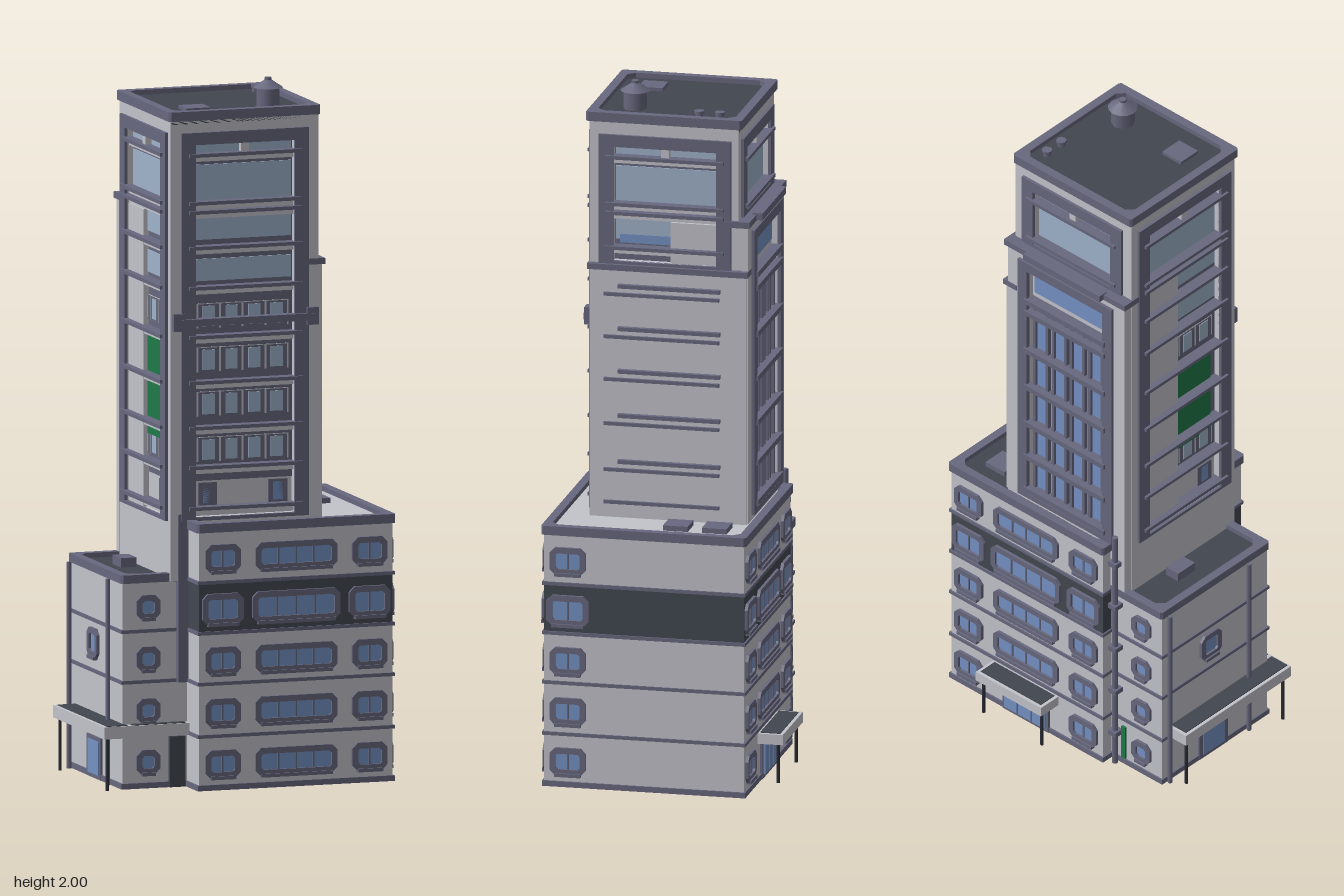
import * as THREE from 'three';

const mat = (name, color) => Object.assign(new THREE.MeshStandardMaterial({ color }), { name });
const WALL = mat('pale wall', 0xc3c3cb), TRIM = mat('slate trim', 0x68687f), DARK = mat('dark roof', 0x424750);
const GLASS = mat('blue glass', 0x7592c4), SKY = mat('pale glass', 0x9fb3cb), GREEN = mat('green glass', 0x1f7a48);
const POST = mat('black post', 0x2b2d36);

function add(parent, name, geo, m, x = 0, y = 0, z = 0) {
  const mesh = new THREE.Mesh(geo, m);
  mesh.name = name;
  mesh.position.set(x, y, z);
  parent.add(mesh);
  return mesh;
}
// Box given by its limits on each axis
const box = (p, name, m, x0, x1, y0, y1, z0, z1) =>
  add(p, name, new THREE.BoxGeometry(x1 - x0, y1 - y0, z1 - z0), m, (x0 + x1) / 2, (y0 + y1) / 2, (z0 + z1) / 2);
const pole = (p, name, m, r, x, z, y0, y1) =>
  add(p, name, new THREE.CylinderGeometry(r, r, y1 - y0, 8), m, x, (y0 + y1) / 2, z);

// Rectangle outline with chamfered corners
function outline(Type, x0, x1, y0, y1, c = 0) {
  const pts = c ? [[x0 + c, y0], [x1 - c, y0], [x1, y0 + c], [x1, y1 - c], [x1 - c, y1], [x0 + c, y1], [x0, y1 - c], [x0, y0 + c]]
    : [[x0, y0], [x1, y0], [x1, y1], [x0, y1]];
  return new Type(pts.map(([x, y]) => new THREE.Vector2(x, y)));
}
// Plate with a hole, [x0, x1, y0, y1, chamfer] each, back face at z
function ring(p, name, m, outer, inner, z, depth) {
  const s = outline(THREE.Shape, ...outer);
  s.holes.push(outline(THREE.Path, ...inner));
  return add(p, name, new THREE.ExtrudeGeometry(s, { depth, bevelEnabled: false }), m, 0, 0, z);
}
// Flat roof edge with chamfered inner corners, over a dark deck
function roof(p, name, x0, x1, z0, z1, y0, y1, w) {
  const r = ring(p, name + 'Rim', TRIM, [x0, x1, -z1, -z0, 0.006], [x0 + w, x1 - w, -z1 + w, -z0 - w, 0.02], 0, y1 - y0);
  r.rotation.x = -Math.PI / 2;
  r.position.y = y0;
  box(p, name + 'Deck', DARK, x0 + 0.01, x1 - 0.01, y0 - 0.01, y1 - 0.014, z0 + 0.01, z1 - 0.01);
}
// Group whose local +z points out of one side of the building
function side(p, name, turns, x = 0, z = 0) {
  const g = new THREE.Group();
  g.name = name;
  g.rotation.y = turns * Math.PI / 2;
  g.position.set(x, 0, z);
  p.add(g);
  return g;
}
// Chamfered window: frame, glass, mullions and sill
function windowUnit(p, x, y, w, h, z, panes) {
  const a = w / 2, b = h / 2, t = 0.017;
  ring(p, 'windowFrame', TRIM, [x - a, x + a, y - b, y + b, 0.016], [x - a + t, x + a - t, y - b + t, y + b - t, 0.006], z - 0.004, 0.013);
  box(p, 'windowGlass', GLASS, x - a + t / 2, x + a - t / 2, y - b + t / 2, y + b - t / 2, z - 0.003, z + 0.002);
  for (let i = 1; i < panes; i++) {
    const mx = x - a + t + (w - 2 * t) * i / panes;
    box(p, 'mullion', TRIM, mx - 0.0025, mx + 0.0025, y - b + t, y + b - t, z, z + 0.005);
  }
  box(p, 'windowSill', TRIM, x - a + 0.015, x + a - 0.015, y - b - 0.004, y - b + 0.006, z, z + 0.014);
}

const FLOORS = [0.075, 0.222, 0.37, 0.518, 0.663];
const LEVELS = [0, 0.155, 0.305, 0.45, 0.595, 0.75];

function podium(g) {
  const p = side(g, 'podium', 0, 0.1225, 0.0325), H = 0.29;
  for (let i = 0; i < 5; i++) {
    box(p, 'podiumFloor', i === 3 ? DARK : WALL, -H, H, LEVELS[i], LEVELS[i + 1], -H, H);
    const t = i === 0 ? 0.016 : 0.005, e = H + 0.005;
    box(p, 'floorLedge', TRIM, -e, e, i ? LEVELS[i] - t : 0, LEVELS[i] + t, -e, e);
  }
  roof(p, 'podium', -0.2975, 0.2975, -0.2975, 0.2975, 0.738, 0.764, 0.025);
  for (const t of [0, 1, 2]) {
    const s = side(p, ['podiumFront', 'podiumLeft', 'podiumBack'][t], t);
    FLOORS.forEach((y, i) => {
      const k = i === 3 ? 0.018 : 0;
      windowUnit(s, -0.22, y, 0.105 + k, 0.08 + k / 2, H, 2);
      if (t === 1) return;
      windowUnit(s, 0.22, y, 0.105 + k, 0.08 + k / 2, H, 2);
      if (t === 0 || i) windowUnit(s, 0, y, 0.245 + k, 0.08 + k / 2, H, 4);
    });
  }
  // Roof hatches
  for (const z of [-0.155, -0.042]) box(g, 'roofHatch', TRIM, 0.27, 0.342, 0.745, 0.765, z - 0.036, z + 0.036);
  // Back entrance with canopy
  box(g, 'backDoorFrame', TRIM, 0.035, 0.21, 0, 0.112, -0.265, -0.255);
  for (const x of [0.045, 0.098, 0.151]) box(g, 'backDoorGlass', GLASS, x, x + 0.048, 0.012, 0.1, -0.27, -0.262);
  canopy(g, 0, 0.25, -0.333, -0.26, 0.115, 0.145);
  for (const x of [0.012, 0.235]) pole(g, 'canopyPost', POST, 0.005, x, -0.316, 0, 0.12);
}

function canopy(g, x0, x1, z0, z1, y0, y1) {
  box(g, 'canopy', WALL, x0, x1, y0, y1, z0, z1);
  box(g, 'canopyTop', DARK, x0 + 0.01, x1 - 0.01, y1 - 0.004, y1 + 0.002, z0 + 0.01, z1 - 0.005);
}

function annex(g) {
  box(g, 'annexBody', WALL, -0.36, -0.165, 0, 0.595, -0.22, 0.22);
  for (const y of LEVELS.slice(0, 4)) box(g, 'annexLedge', TRIM, -0.365, -0.165, Math.max(0, y - 0.005), y + (y ? 0.005 : 0.016), -0.225, 0.225);
  roof(g, 'annex', -0.366, -0.165, -0.228, 0.226, 0.588, 0.612, 0.025);
  box(g, 'annexVent', TRIM, -0.287, -0.24, 0.59, 0.625, -0.072, -0.002);
  const front = side(g, 'annexFront', 0), back = side(g, 'annexBack', 2), right = side(g, 'annexRight', -1);
  for (const y of FLOORS.slice(0, 4)) {
    windowUnit(front, -0.285, y, 0.07, 0.07, 0.22, 1);
    windowUnit(back, 0.285, y, 0.07, 0.07, 0.22, 1);
  }
  windowUnit(right, -0.02, 0.385, 0.085, 0.085, 0.36, 1);
  box(right, 'sideDoorFrame', TRIM, -0.07, 0.05, 0, 0.12, 0.355, 0.366);
  box(right, 'sideDoorGlass', GLASS, -0.055, 0.035, 0.012, 0.108, 0.362, 0.369);
  // Side canopy, posts and downpipes
  canopy(g, -0.425, -0.345, -0.19, 0.25, 0.15, 0.185);
  canopy(g, -0.35, -0.17, 0.215, 0.25, 0.15, 0.185);
  for (const z of [-0.172, 0.232]) pole(g, 'canopyPost', POST, 0.005, -0.41, z, 0, 0.16);
  for (const z of [-0.2, 0.13]) pole(g, 'downpipe', TRIM, 0.007, -0.373, z, 0, 0.59);
  pole(g, 'backDownpipe', TRIM, 0.009, -0.195, -0.236, 0, 0.8);
  for (const y of [0.1, 0.25, 0.4, 0.55, 0.7]) box(g, 'pipeClamp', TRIM, -0.21, -0.18, y, y + 0.015, -0.25, -0.22);
  // Corner doorway, green panel and corner pilaster
  box(g, 'cornerDoor', DARK, -0.222, -0.175, 0, 0.145, 0.22, 0.229);
  box(g, 'cornerGreenPanel', GREEN, -0.225, -0.21, 0.02, 0.13, -0.227, -0.219);
  box(g, 'cornerPilaster', TRIM, -0.2, -0.17, 0.3, 0.78, 0.21, 0.24);
}

// Deep-set window bay with frame, sun bars and glazing between y0 and the top
function bay(p, c, half, y0, d, wallX0, wallX1, wallY0, green) {
  const x0 = c - half, x1 = c + half, top = 1.835, zi = d - 0.018;
  ring(p, 'bayWall', WALL, [wallX0, wallX1, wallY0, 1.91], [x0, x1, y0, top], d - 0.02, 0.02);
  ring(p, 'bayFrame', TRIM, [x0 - 0.042, x1 + 0.042, y0 - 0.01, top + 0.035], [x0, x1, y0, top], d - 0.003, 0.012);
  box(p, 'bayBacking', TRIM, x0, x1, Math.max(y0, 0.87), top, zi - 0.004, zi);
  const glass = (m, a, b, l, r) => box(p, 'bayGlass', m, l, r, a, b, zi - 0.002, zi + 0.004);
  // Wide panes of the upper floors
  for (const [a, b] of [[1.672, 1.775], [1.805, 1.832], [1.56, 1.632], [1.442, 1.505]])
    if (a > y0) glass(SKY, a, b, x0 + 0.004, x1 - 0.004);
  // Rows of four panes, or broad green panes
  if (y0 < 1) {
    for (const y of [0.93, 1.06, 1.187, 1.312]) {
      if (green && y > 1 && y < 1.2) { glass(GREEN, y - 0.08, y + 0.08, x0 + 0.02, x1 - 0.02); continue; }
      box(p, 'bayPanel', WALL, x0 + 0.01, x1 - 0.01, y - 0.006, y + 0.065, zi - 0.003, zi + 0.001);
      for (let i = 0; i < 4; i++) {
        const x = c - 0.102 + i * 0.068;
        box(p, 'paneFrame', TRIM, x - 0.031, x + 0.031, y - 0.006, y + 0.063, zi - 0.002, zi + 0.002);
        glass(SKY, y, y + 0.058, x - 0.018, x + 0.018);
      }
    }
    for (const x of [c - 0.105, c + 0.105]) {
      box(p, 'paneFrame', TRIM, x - 0.028, x + 0.028, 0.8, 0.865, zi, zi + 0.004);
      glass(GLASS, 0.806, 0.858, x - 0.015, x + 0.015);
    }
  }
  // Sun bars and pale spandrel strips
  for (const y of [0.795, 0.912, 1.025, 1.155, 1.285, 1.425, 1.54, 1.642, 1.668, 1.805]) {
    if (y < y0) continue;
    box(p, 'sunBar', TRIM, x0 - 0.022, x1 + 0.022, y - 0.005, y + 0.005, d - 0.02, d + 0.017);
    box(p, 'spandrel', WALL, x0, x1, y - 0.02, y - 0.005, d - 0.02, d - 0.004);
  }
  box(p, 'topLamp', WALL, c - 0.012, c + 0.012, 1.81, 1.835, d - 0.02, d + 0.004);
}

function tower(g) {
  const t = side(g, 'tower', 0);
  box(t, 'towerCore', WALL, -0.203, 0.203, 0.59, 1.91, -0.18, 0.216);
  box(t, 'towerBackCore', WALL, -0.22, 0.22, 0.59, 1.62, -0.205, 0);
  // Front bay with wide ledge
  const front = side(t, 'towerFront', 0);
  bay(front, 0, 0.148, 0.77, 0.235, -0.222, 0.222, 0.59, false);
  box(front, 'wideLedge', TRIM, -0.215, 0.215, 1.318, 1.338, 0.225, 0.254);
  for (const x of [-0.2, 0.2]) box(front, 'ledgeBracket', TRIM, x - 0.017, x + 0.017, 1.305, 1.355, 0.225, 0.252);
  // Right side bay with green panes
  bay(side(t, 'towerRight', -1), 0.02, 0.15, 0.77, 0.222, -0.195, 0.235, 0.59, true);
  // Left side: short bay above a blank block with paired fins
  const left = side(t, 'towerLeft', 1);
  bay(left, -0.015, 0.15, 1.5, 0.222, -0.235, 0.195, 1.45, false);
  box(left, 'lowStripGlass', GLASS, -0.15, 0.12, 1.55, 1.575, 0.2, 0.209);
  box(left, 'blankBlock', WALL, -0.23, 0.222, 0.75, 1.478, 0.19, 0.234);
  box(left, 'blockCap', TRIM, -0.238, 0.228, 1.475, 1.492, 0.19, 0.241);
  for (const y of [0.795, 0.89, 1.025, 1.155, 1.28, 1.405]) {
    box(left, 'longFin', TRIM, -0.19, 0.145, y - 0.005, y + 0.005, 0.23, 0.242);
    if (y > 0.8) box(left, 'shortFin', TRIM, -0.148, 0.148, y + 0.02, y + 0.031, 0.23, 0.248);
  }
  // Back: upper bay, and a lower projecting bay with tall glazing
  const back = side(t, 'towerBack', 2), d = 0.226;
  bay(back, 0, 0.148, 1.65, 0.197, -0.222, 0.222, 1.6, false);
  ring(back, 'lowerBayWall', WALL, [-0.225, 0.222, 0.59, 1.62], [-0.145, 0.145, 0.78, 1.57], d - 0.022, 0.022);
  ring(back, 'lowerBayFrame', TRIM, [-0.18, 0.18, 0.765, 1.6], [-0.145, 0.145, 0.78, 1.57], d - 0.003, 0.012);
  box(back, 'lowerBayBacking', WALL, -0.145, 0.145, 0.78, 1.57, 0.2, 0.208);
  box(back, 'lowerBayTopGlass', GLASS, -0.135, 0.135, 1.49, 1.555, 0.205, 0.212);
  for (const x of [-0.105, -0.035, 0.035, 0.105]) {
    box(back, 'tallGlass', GLASS, x - 0.02, x + 0.02, 0.8, 1.45, 0.205, 0.212);
    for (const e of [-0.024, 0.024]) box(back, 'tallMullion', TRIM, x + e - 0.005, x + e + 0.005, 0.78, 1.46, 0.205, 0.22);
  }
  for (const y of [0.795, 0.912, 1.03, 1.16, 1.29, 1.425, 1.465])
    box(back, 'backBar', TRIM, -0.155, 0.155, y - 0.008, y + 0.008, 0.205, d + 0.014);
  box(back, 'backLedge', TRIM, -0.235, 0.228, 1.62, 1.638, 0.16, 0.232);
  box(back, 'backLedgeLip', TRIM, -0.145, 0.148, 1.622, 1.642, 0.22, 0.25);
  // Roof, vents, hatch and tank
  roof(t, 'tower', -0.229, 0.225, -0.207, 0.245, 1.905, 1.932, 0.026);
  box(t, 'roofHatch', TRIM, -0.148, -0.076, 1.91, 1.928, 0.092, 0.163);
  for (const z of [-0.13, -0.07]) {
    pole(t, 'ventPipe', TRIM, 0.011, 0.162, z, 1.91, 1.934);
    pole(t, 'ventCap', TRIM, 0.015, 0.162, z, 1.93, 1.938);
  }
  pole(t, 'tank', TRIM, 0.034, 0.108, 0.128, 1.91, 1.975);
  add(t, 'tankRoof', new THREE.CylinderGeometry(0.01, 0.043, 0.022, 12), TRIM, 0.108, 1.982, 0.128);
  pole(t, 'tankKnob', TRIM, 0.011, 0.108, 0.128, 1.99, 2);
}

export function createModel() {
  const g = new THREE.Group();
  g.name = 'officeTower';
  podium(g);
  annex(g);
  tower(g);
  return g;
}
